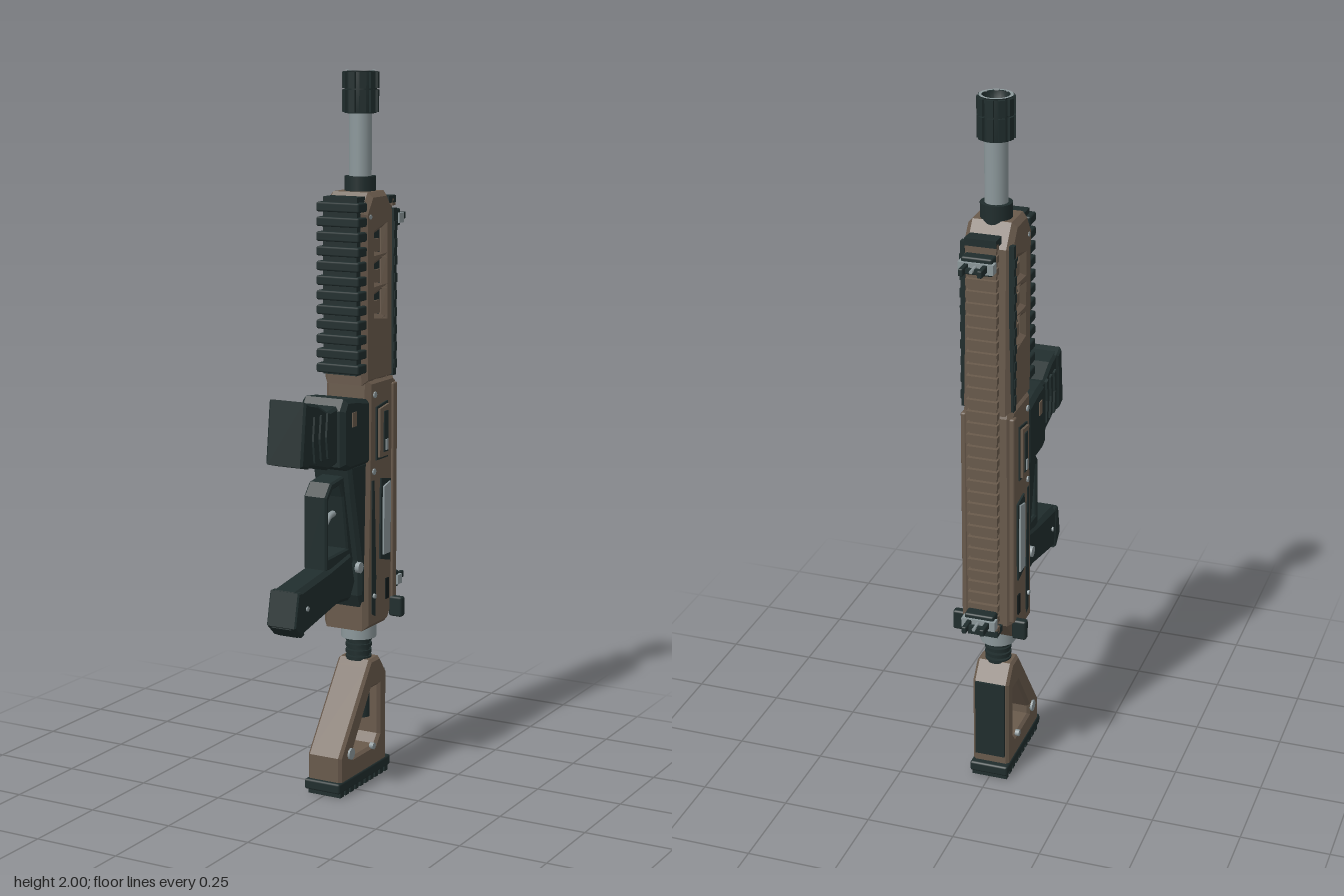
import * as THREE from 'three';
import { RoundedBoxGeometry } from 'three/addons/geometries/RoundedBoxGeometry.js';

const mat = (name, color) => new THREE.MeshStandardMaterial({ name, color });

export function createModel() {
  const dark = mat('gunmetal', 0x202d2d);
  const brown = mat('earth brown', 0x695a4c);
  const steel = mat('steel', 0x8c989b);
  const black = mat('black', 0x131a1a);
  const root = new THREE.Group();
  const AXIS = -0.115; // barrel line in z

  const add = (name, geo, m, x = 0, y = 0, z = 0, parent = root) => {
    const mesh = new THREE.Mesh(geo, m);
    mesh.name = name;
    mesh.position.set(x, y, z);
    parent.add(mesh);
    return mesh;
  };
  // box given by its ranges in x, y and z
  const box = (name, m, x0, x1, y0, y1, z0, z1, r = 0) => {
    const s = [x1 - x0, y1 - y0, z1 - z0];
    const g = r ? new RoundedBoxGeometry(...s, 1, r) : new THREE.BoxGeometry(...s);
    return add(name, g, m, (x0 + x1) / 2, (y0 + y1) / 2, (z0 + z1) / 2);
  };
  // side profile of [z, y] points, extruded across x and bevelled
  const profile = (name, m, pts, half, bevel = 0.008, holes = [], x = 0) => {
    const v = (p) => p.map(([z, y]) => new THREE.Vector2(z, y));
    const shape = new THREE.Shape(v(pts));
    holes.forEach((h) => shape.holes.push(new THREE.Path(v(h))));
    const depth = 2 * (half - bevel);
    const g = new THREE.ExtrudeGeometry(shape, {
      depth, bevelEnabled: bevel > 0, bevelSize: bevel, bevelThickness: bevel,
      bevelOffset: -bevel, bevelSegments: 1,
    });
    g.translate(0, 0, -depth / 2).rotateY(-Math.PI / 2);
    return add(name, g, m, x);
  };
  const tube = (name, m, r, y0, y1, z = AXIS, open = false) =>
    add(name, new THREE.CylinderGeometry(r, r, y1 - y0, 24, 1, open), m, 0, (y0 + y1) / 2, z);
  const screw = (s, y, z, x, r = 0.009) => {
    const g = new THREE.CylinderGeometry(r, r, 0.012, 8).rotateZ(Math.PI / 2);
    add('screw', g, steel, s * x, y, z);
  };
  const sides = (fn) => [-1, 1].forEach(fn);
  // box mirrored to both sides of the model
  const pair = (name, m, a, b, ...rest) =>
    sides((s) => box(name, m, Math.min(s * a, s * b), Math.max(s * a, s * b), ...rest));

  // barrel and muzzle
  tube('barrelCollar', dark, 0.043, 1.64, 1.715);
  tube('barrel', steel, 0.031, 1.7, 1.9);
  const ring = [[0.031, 1.885], [0.044, 1.885], [0.044, 1.995], [0.037, 1.998], [0.035, 1.95], [0, 1.95]];
  add('muzzle', new THREE.LatheGeometry(ring.map((p) => new THREE.Vector2(...p)), 24), dark, 0, 0, AXIS);
  add('muzzleRim', new THREE.RingGeometry(0.037, 0.045, 24).rotateX(-Math.PI / 2), steel, 0, 2, AXIS);
  for (let i = 0; i < 10; i++) {
    const a = (i / 10) * Math.PI * 2;
    [[1.918, 0.06], [1.974, 0.044]].forEach(([y, h]) => {
      const rib = add('muzzleRib', new THREE.BoxGeometry(0.018, h, 0.012), dark,
        Math.sin(a) * 0.044, y, AXIS + Math.cos(a) * 0.044);
      rib.rotation.y = a;
    });
  }

  // handguard with slanted vents over a dark core
  const vents = [1.54, 1.455, 1.37, 1.285, 1.2].map((y) =>
    [[-0.085, y + 0.02], [-0.085, y - 0.026], [-0.137, y - 0.034], [-0.137, y + 0.034], [-0.125, y + 0.03]]);
  profile('handguard', brown, [[-0.025, 1.15], [-0.02, 1.62], [-0.058, 1.675], [-0.15, 1.675],
    [-0.195, 1.615], [-0.205, 1.15]], 0.067, 0.014, vents);
  box('handguardCore', dark, -0.048, 0.048, 1.16, 1.62, -0.18, -0.04);
  vents.forEach((v) => {
    const y = v[0][1] - 0.02;
    pair('ventLiner', brown, 0.04, 0.054, y - 0.03, y + 0.006, -0.13, -0.09);
  });
  pair('sideRail', dark, 0.06, 0.073, 1.16, 1.625, -0.192, -0.174);
  for (let i = 0; i < 9; i++) pair('sideRailTooth', dark, 0.07, 0.076, 1.18 + i * 0.048, 1.205 + i * 0.048, -0.19, -0.176);

  // lower accessory rail
  box('frontRail', dark, -0.052, 0.052, 1.18, 1.665, -0.045, 0);
  for (let i = 0; i < 12; i++) box('frontRailTooth', dark, -0.066, 0.066, 1.185 + i * 0.04, 1.211 + i * 0.04, -0.035, 0.016, 0.005);

  // long top rail
  box('topRailBase', dark, -0.03, 0.03, 0.5, 1.65, -0.226, -0.195);
  box('topRail', brown, -0.038, 0.038, 0.51, 1.645, -0.23, -0.22);
  for (let i = 0; i < 34; i++) {
    const y = 0.505 + i * 0.034;
    box('topRailTooth', brown, -0.043, 0.043, y, y + 0.019, -0.241, -0.222);
  }
  [0.495, 1.635].forEach((y) => box('railEnd', dark, -0.043, 0.043, y, y + 0.02, -0.243, -0.2));

  // receiver
  profile('receiver', brown, [[-0.025, 0.455], [-0.155, 0.455], [-0.198, 0.51], [-0.2, 1.14], [-0.19, 1.165],
    [-0.04, 1.165], [-0.035, 0.93], [-0.025, 0.6]], 0.07, 0.014);
  pair('receiverRidge', brown, 0.06, 0.076, 0.52, 1.14, -0.196, -0.17, 0.005);
  // rear bevelled panel, ejection port and upper window
  sides((s) => {
    const plate = (name, m, pts, x, half = 0.004) => profile(name, m, pts, half, 0, [], s * x);
    plate('portFrame', dark, [[-0.098, 0.65], [-0.155, 0.635], [-0.16, 0.87], [-0.103, 0.88]], 0.071);
    plate('portCover', steel, [[-0.111, 0.66], [-0.15, 0.66], [-0.15, 0.865], [-0.111, 0.855]], 0.076);
    plate('upperWindow', dark, [[-0.077, 0.935], [-0.143, 0.935], [-0.143, 1.095], [-0.077, 1.085]], 0.07);
    plate('upperWindowPanel', brown, [[-0.084, 0.942], [-0.136, 0.942], [-0.136, 1.087], [-0.084, 1.079]], 0.076, 0.005);
    plate('windowSlot', dark, [[-0.104, 0.955], [-0.126, 0.955], [-0.126, 1.07], [-0.104, 1.07]], 0.08);
    plate('windowLatch', steel, [[-0.109, 0.96], [-0.121, 0.96], [-0.121, 0.99], [-0.109, 0.99]], 0.083);
    plate('seam', dark, [[-0.055, 0.5], [-0.075, 0.49], [-0.08, 0.6], [-0.068, 0.88], [-0.055, 0.88]], 0.068);
    plate('rearVent', black, [[-0.135, 0.525], [-0.152, 0.525], [-0.152, 0.585], [-0.135, 0.585]], 0.07);
    screw(s, 1.12, -0.07, 0.068);
    screw(s, 0.905, -0.066, 0.068);
    screw(s, 1.61, -0.05, 0.063, 0.007);
    screw(s, 0.55, -0.065, 0.072, 0.007);
  });
  pair('selectorKnob', dark, 0.066, 0.107, 0.468, 0.526, -0.189, -0.164, 0.006);

  // lower receiver with trigger guard
  profile('lowerReceiver', dark, [[0.05, 0.94], [-0.05, 0.94], [-0.055, 0.5], [-0.035, 0.5], [-0.01, 0.56],
    [-0.01, 0.66], [0.035, 0.86]], 0.06, 0.01);
  profile('triggerGuard', dark, [[0.14, 0.66], [0.14, 0.865], [0.11, 0.9], [0.03, 0.91], [-0.02, 0.9], [-0.02, 0.65]],
    0.035, 0.005, [[[0.123, 0.695], [0.123, 0.855], [0.1, 0.88], [0.06, 0.885], [0.045, 0.85], [0.02, 0.7]]]);
  const triggerPath = new THREE.CatmullRomCurve3([[0.03, 0.8], [0.06, 0.795], [0.08, 0.78], [0.108, 0.77]]
    .map(([z, y]) => new THREE.Vector3(0, y, z)));
  add('trigger', new THREE.TubeGeometry(triggerPath, 10, 0.009, 6), steel);

  // pistol grip
  profile('grip', dark, [[0.322, 0.54], [0.302, 0.64], [0.13, 0.665], [0.005, 0.69], [-0.02, 0.6], [0.01, 0.55],
    [0.07, 0.555], [0.285, 0.51]], 0.042, 0.012);
  profile('gripCap', dark, [[0.324, 0.545], [0.304, 0.638], [0.285, 0.638], [0.272, 0.515], [0.287, 0.512]], 0.045, 0.004);
  sides((s) => {
    screw(s, 0.645, 0, 0.061, 0.016);
    screw(s, 0.585, 0.255, 0.04, 0.007);
  });

  // magazine well and magazine
  profile('magazineWell', dark, [[0.105, 0.945], [0.105, 1.1], [0.085, 1.13], [0.03, 1.125], [-0.05, 1.11],
    [-0.05, 0.93], [0.07, 0.93]], 0.07, 0.012);
  pair('wellMark', brown, 0.066, 0.073, 1.05, 1.09, 0.035, 0.058);
  profile('magazine', dark, [[0.09, 0.955], [0.09, 1.112], [0.15, 1.105], [0.21, 1.135], [0.28, 1.148],
    [0.3, 0.98], [0.23, 0.965], [0.15, 0.945]], 0.05, 0.008);
  profile('magazineFloor', dark, [[0.25, 1.14], [0.285, 1.152], [0.306, 0.98], [0.262, 0.968]], 0.056, 0.006);
  sides((s) => [0.15, 0.185, 0.22].forEach((z) =>
    profile('magazineRib', dark, [[z, 0.975], [z + 0.008, 1.04], [z, 1.1], [z + 0.014, 1.105], [z + 0.022, 1.04],
      [z + 0.014, 0.98]], 0.004, 0, [], s * 0.052)));

  // buffer tube
  tube('bufferRing', steel, 0.05, 0.415, 0.46, -0.11);
  tube('bufferTube', dark, 0.033, 0.18, 0.42, -0.11).scale.z = 0.75;
  for (let i = 0; i < 4; i++) tube('bufferRib', dark, 0.037, 0.35 + i * 0.018, 0.36 + i * 0.018, -0.11);

  // skeleton stock
  profile('stock', brown, [[-0.085, 0.355], [-0.14, 0.355], [-0.18, 0.305], [-0.18, 0.035], [0.092, 0.035],
    [0.092, 0.115], [-0.07, 0.335]], 0.053, 0.008,
    [[[-0.09, 0.27], [-0.135, 0.27], [-0.135, 0.125], [-0.115, 0.1], [0.012, 0.1], [0.012, 0.125]]]);
  box('stockBackPlate', dark, -0.043, 0.043, 0.07, 0.305, -0.187, -0.17);
  box('buttPad', dark, -0.056, 0.056, 0.015, 0.045, -0.2, 0.105, 0.006);
  for (let i = 0; i < 10; i++) box('buttTooth', dark, -0.052, 0.052, 0, 0.02, -0.19 + i * 0.029, -0.172 + i * 0.029);
  sides((s) => {
    screw(s, 0.115, 0.035, 0.053, 0.017);
    screw(s, 0.1, -0.095, 0.053, 0.01);
  });

  // folding sights
  [1.59, 0.55].forEach((y) => {
    box('sightClamp', steel, -0.048, 0.048, y - 0.014, y + 0.014, -0.281, -0.256);
    box('sightBase', dark, -0.042, 0.042, y - 0.022, y + 0.026, -0.274, -0.235, 0.005);
    pair('sightEar', dark, 0.019, 0.032, y - 0.008, y + 0.012, -0.325, -0.262, 0.003);
    box('sightBar', dark, -0.02, 0.02, y - 0.006, y + 0.006, -0.304, -0.292);
    const pin = new THREE.CylinderGeometry(0.005, 0.005, 0.05, 8).rotateX(Math.PI / 2);
    add('sightPin', pin, steel, 0, y + 0.004, -0.292);
  });

  return root;
}
